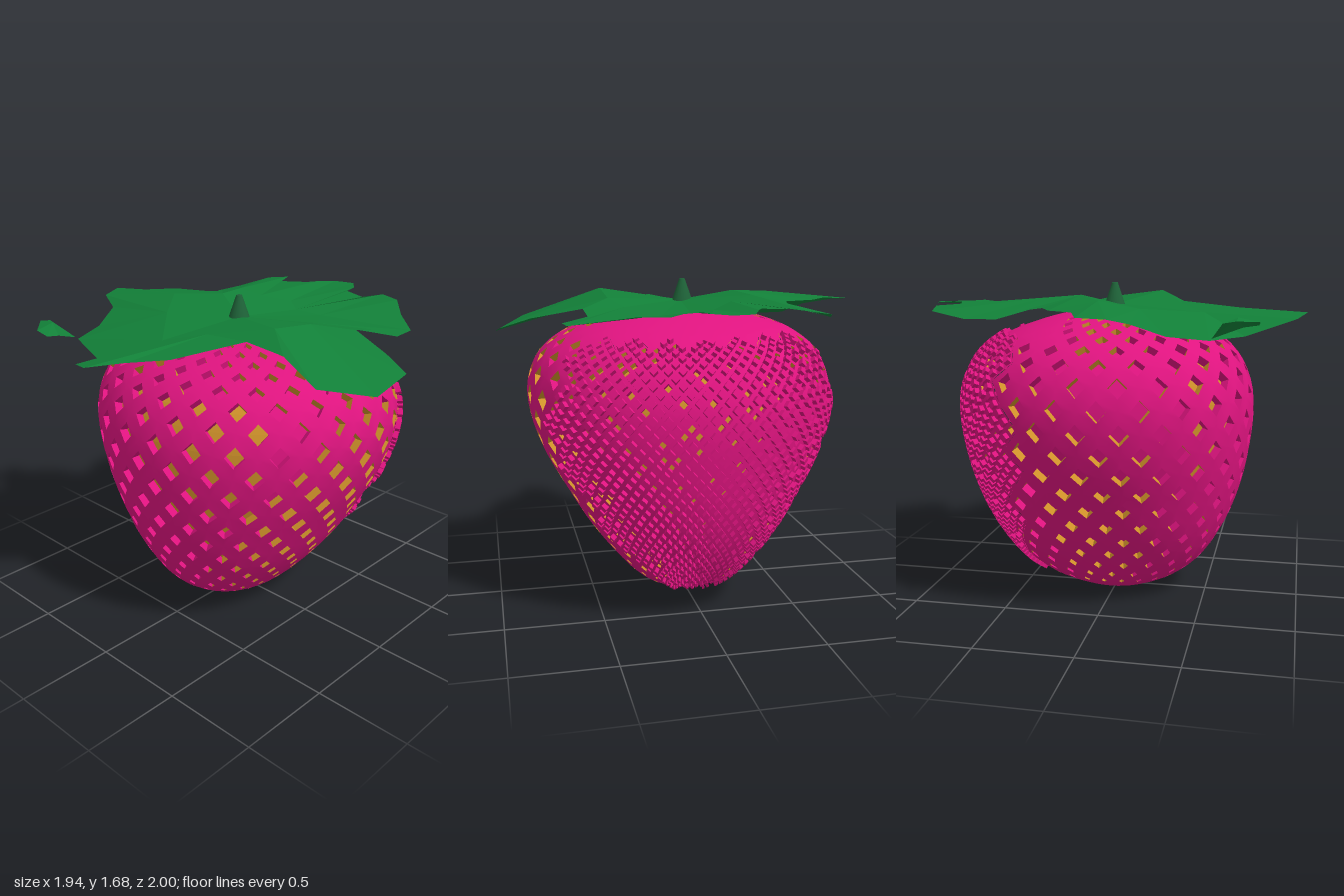
import * as THREE from 'three';
import { toCreasedNormals } from 'three/addons/utils/BufferGeometryUtils.js';

const COLUMNS = 24, ROWS = 26;

// Fruit profile: half width in x, height, half depth in z
const profile = new THREE.CatmullRomCurve3([
  [0, 0, 0], [0.08, 0.004, 0.1], [0.19, 0.05, 0.26], [0.262, 0.1, 0.37], [0.355, 0.2, 0.5],
  [0.505, 0.4, 0.635], [0.62, 0.6, 0.715], [0.725, 0.8, 0.76], [0.79, 1, 0.78], [0.8, 1.15, 0.765],
  [0.745, 1.3, 0.695], [0.635, 1.4, 0.585], [0.45, 1.48, 0.4], [0.2, 1.53, 0.2], [0, 1.54, 0],
].map((p) => new THREE.Vector3(...p)));

// Point on the fruit skin: u counts columns around, v counts rows upward
function skinPoint(u, v) {
  const p = profile.getPointAt(THREE.MathUtils.clamp(v / ROWS, 0, 1));
  const a = (u / COLUMNS) * Math.PI * 2;
  const bulge = 1 + 0.018 * Math.sin(2 * a) ** 2;
  return new THREE.Vector3(
    p.x * (bulge * Math.sin(a) + 0.025),
    Math.max(p.y, 0),
    p.z * (bulge * Math.cos(a) - 0.055),
  );
}

const diamond = (u, v, du, dv) =>
  [[-du, 0], [0, -dv], [du, 0], [0, dv]].map(([a, b]) => skinPoint(u + a, v + b));

function addQuad(list, a, b, c, d) {
  for (const p of [a, b, c, a, c, d]) list.push(p.x, p.y, p.z);
}

// Pit faces that look along z are golden, the rest are skin
function addPitQuad(skin, gold, a, b, c, d) {
  const n = c.clone().sub(a).cross(d.clone().sub(b)).normalize();
  addQuad(Math.abs(n.z) > 0.65 ? gold : skin, a, b, c, d);
}

// One diamond cell: frame on the skin, walls, and a floor sunk (or raised if depth < 0)
function addCell(skin, gold, u, v, du, dv, scale, depth) {
  const o = diamond(u, v, du, dv);
  const i = diamond(u, v, du * scale, dv * scale);
  const n = o[2].clone().sub(o[0]).cross(o[3].clone().sub(o[1])).normalize();
  const f = i.map((p) => p.clone().addScaledVector(n, -depth));
  const inside = depth > 0 ? gold : skin;
  for (let k = 0; k < 4; k++) {
    const m = (k + 1) % 4;
    addQuad(skin, o[k], o[m], i[m], i[k]);
    if (depth) addPitQuad(skin, inside, i[k], i[m], f[m], f[k]);
  }
  addPitQuad(skin, inside, ...f);
}

function meshFrom(name, positions, material, crease) {
  let g = new THREE.BufferGeometry();
  g.setAttribute('position', new THREE.Float32BufferAttribute(positions, 3));
  if (crease) g = toCreasedNormals(g, crease);
  else g.computeVertexNormals();
  const mesh = new THREE.Mesh(g, material);
  mesh.name = name;
  return mesh;
}

function buildFruit() {
  const skin = [], gold = [];
  for (let row = 1; row < ROWS; row++) {
    for (let col = 0; col < COLUMNS; col++) {
      const u = col + (row % 2) / 2;
      const c = skinPoint(u, row);
      if (c.z < -0.42 && c.y < 1.42 && c.y > 0.15) {
        // Back: fine pegs with a few small pits between them
        for (let a = -1; a <= 1; a++) {
          for (let b = -1; b <= 1; b++) {
            const pit = (row * 7 + col * 3 + a + b * 2 + 10) % 5 === 0;
            addCell(skin, gold, u + (a - b) / 6, row + (a + b) / 3, 1 / 6, 1 / 3, 0.6, pit ? 0.03 : -0.025);
          }
        }
      } else {
        // Front and sides: pits that shrink toward the tip; plain skin at the upper back and both ends
        const plain = (c.z < -0.2 && c.y > 1.4) || row < 4 || row > ROWS - 3;
        const width = c.distanceTo(skinPoint(u + 0.5, row));
        const scale = 0.28 + 0.19 * Math.min(1, c.y / 0.8);
        addCell(skin, gold, u, row, 0.5, 1, scale, plain ? 0 : Math.min(0.045, width * 0.5));
      }
    }
  }
  const fruit = new THREE.Group();
  fruit.name = 'fruit';
  fruit.add(
    meshFrom('skin', skin, new THREE.MeshStandardMaterial({ color: 0xe01480 }), 0.5),
    meshFrom('seedPits', gold, new THREE.MeshStandardMaterial({ color: 0xd0922a })),
  );
  return fruit;
}

// Leaf outline: x, height, z
const leafOutline = [
  [-0.12, 1.57, -0.97], [-0.01, 1.57, -1], [0.06, 1.57, -0.91], [0.08, 1.57, -0.82], [0.2, 1.56, -0.8],
  [0.25, 1.56, -0.93], [0.38, 1.56, -0.88], [0.51, 1.53, -0.73], [0.66, 1.5, -0.6], [0.67, 1.5, -0.46],
  [0.54, 1.52, -0.42], [0.55, 1.55, -0.27], [0.8, 1.5, -0.18], [0.95, 1.45, -0.13], [0.97, 1.41, 0.13],
  [0.81, 1.47, 0.37], [0.56, 1.55, 0.3], [0.33, 1.57, 0.3], [0.2, 1.54, 0.67], [0.06, 1.53, 0.82],
  [-0.01, 1.535, 1], [-0.14, 1.51, 0.95], [-0.28, 1.43, 0.7], [-0.64, 1.44, 0.56], [-0.7, 1.46, 0.37],
  [-0.77, 1.52, 0.21], [-0.92, 1.55, 0.14], [-0.97, 1.56, 0.01], [-0.79, 1.57, -0.05], [-0.68, 1.57, -0.19],
  [-0.5, 1.57, -0.27], [-0.48, 1.55, -0.42], [-0.61, 1.52, -0.47], [-0.6, 1.52, -0.64], [-0.53, 1.55, -0.83],
  [-0.4, 1.57, -0.86], [-0.36, 1.57, -0.74], [-0.2, 1.58, -0.8], [-0.17, 1.58, -0.86],
].map((p) => new THREE.Vector3(...p));

function buildLeaves(material) {
  const out = leafOutline, pos = [];
  const tri = (...pts) => pts.forEach((p) => pos.push(p.x, p.y, p.z));
  const centre = new THREE.Vector3(0, 1.57, 0);
  // Folded inner ring, one point for every third outline point
  const ring = out.filter((_, k) => k % 3 === 0).map((p) => {
    const a = Math.atan2(p.z, p.x);
    return new THREE.Vector3(p.x * 0.5, 1.575 + 0.05 * Math.cos(2 * (a - 0.42)), p.z * 0.5);
  });
  ring.forEach((r, k) => {
    const next = ring[(k + 1) % ring.length];
    const [a, b, c, d] = [0, 1, 2, 3].map((j) => out[(3 * k + j) % out.length]);
    tri(centre, next, r);
    tri(r, b, a);
    tri(r, c, b);
    tri(r, next, c);
    tri(next, d, c);
  });
  return meshFrom('leaves', pos, material);
}

// Small curled scrap rising beside the front left leaf
function buildLeafScrap(material) {
  const rim = [[-0.645, 1.45, 0.57], [-0.775, 1.53, 0.63], [-0.775, 1.54, 0.69], [-0.665, 1.53, 0.79], [-0.595, 1.51, 0.78], [-0.595, 1.5, 0.71]];
  const pos = rim.flatMap((p, k) => [-0.67, 1.55, 0.69, ...rim[(k + 1) % rim.length], ...p]);
  return meshFrom('leafScrap', pos, material);
}

export function createModel() {
  const model = new THREE.Group();
  model.name = 'strawberry';
  const green = new THREE.MeshStandardMaterial({ color: 0x128038, side: THREE.DoubleSide, flatShading: true });

  // Short tapered stem
  const stem = new THREE.Mesh(
    new THREE.CylinderGeometry(0.015, 0.06, 0.13, 16),
    new THREE.MeshStandardMaterial({ color: 0x1e6238 }),
  );
  stem.name = 'stem';
  stem.position.set(-0.01, 1.615, -0.01);

  model.add(buildFruit(), buildLeaves(green), buildLeafScrap(green), stem);
  return model;
}
